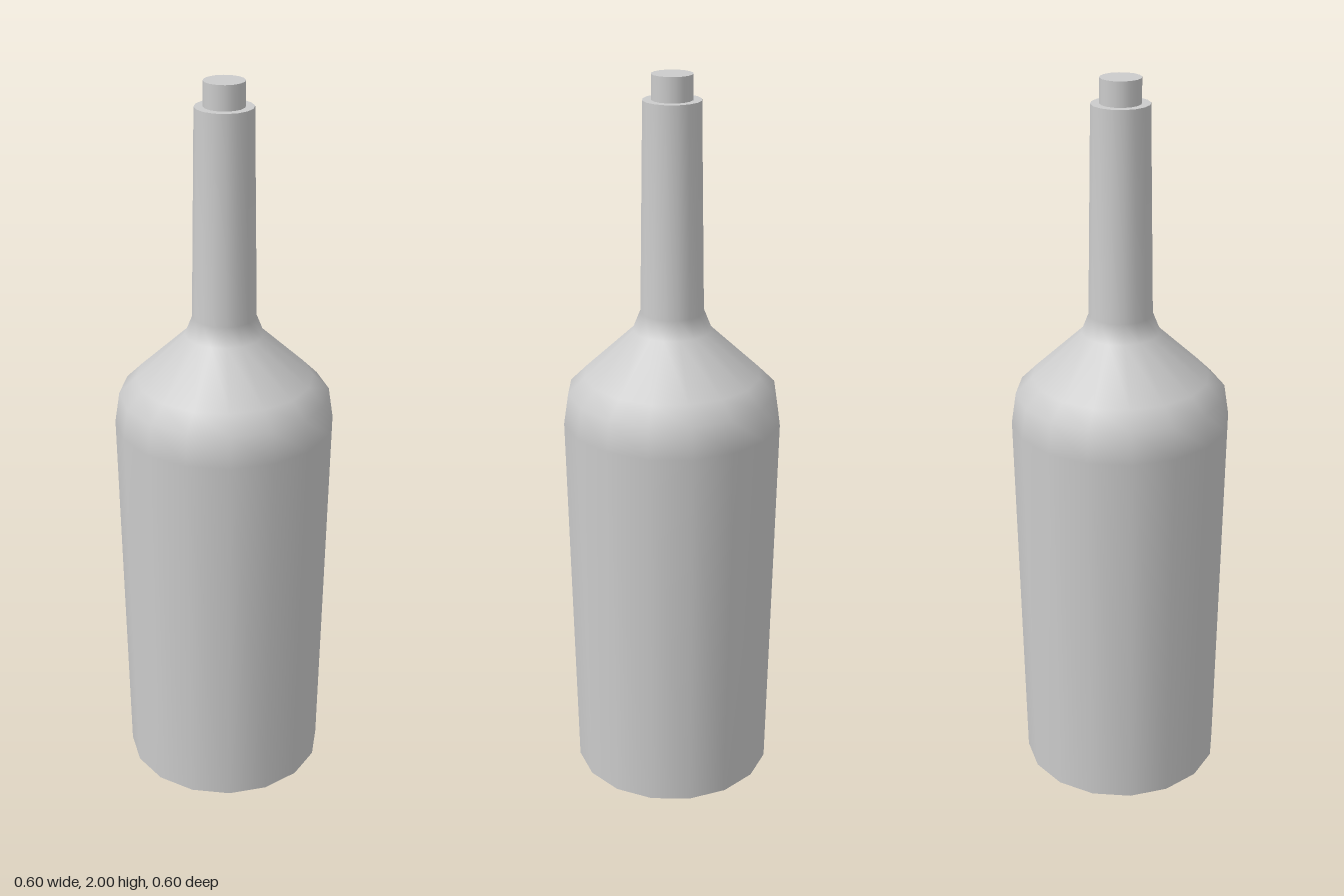
import * as THREE from 'three';

const SIDES = 16;
const material = new THREE.MeshStandardMaterial({ color: 0xcccccc });

function addPart(group, name, geometry, y = 0) {
  const mesh = new THREE.Mesh(geometry, material);
  mesh.name = name;
  mesh.position.y = y;
  group.add(mesh);
  return mesh;
}

export function createModel() {
  const group = new THREE.Group();
  group.name = 'bottle';

  // Smooth glass wall: tapered body, shoulder and neck (radius, height)
  const profile = [
    [0.279, 0], [0.298, 1.07], [0.285, 1.155], [0.24, 1.2],
    [0.106, 1.325], [0.086, 1.375], [0.077, 1.935],
  ].map(([r, y]) => new THREE.Vector2(r, y));
  addPart(group, 'bottleWall', new THREE.LatheGeometry(profile, SIDES));

  // Flat base, facing down
  addPart(group, 'base', new THREE.CircleGeometry(0.279, SIDES).rotateX(Math.PI / 2));

  // Flat rim closing the neck, facing up
  addPart(group, 'rim', new THREE.CircleGeometry(0.077, SIDES).rotateX(-Math.PI / 2), 1.935);

  // Stopper standing out of the neck
  addPart(group, 'stopper', new THREE.CylinderGeometry(0.054, 0.054, 0.085, SIDES), 1.9575);

  return group;
}
